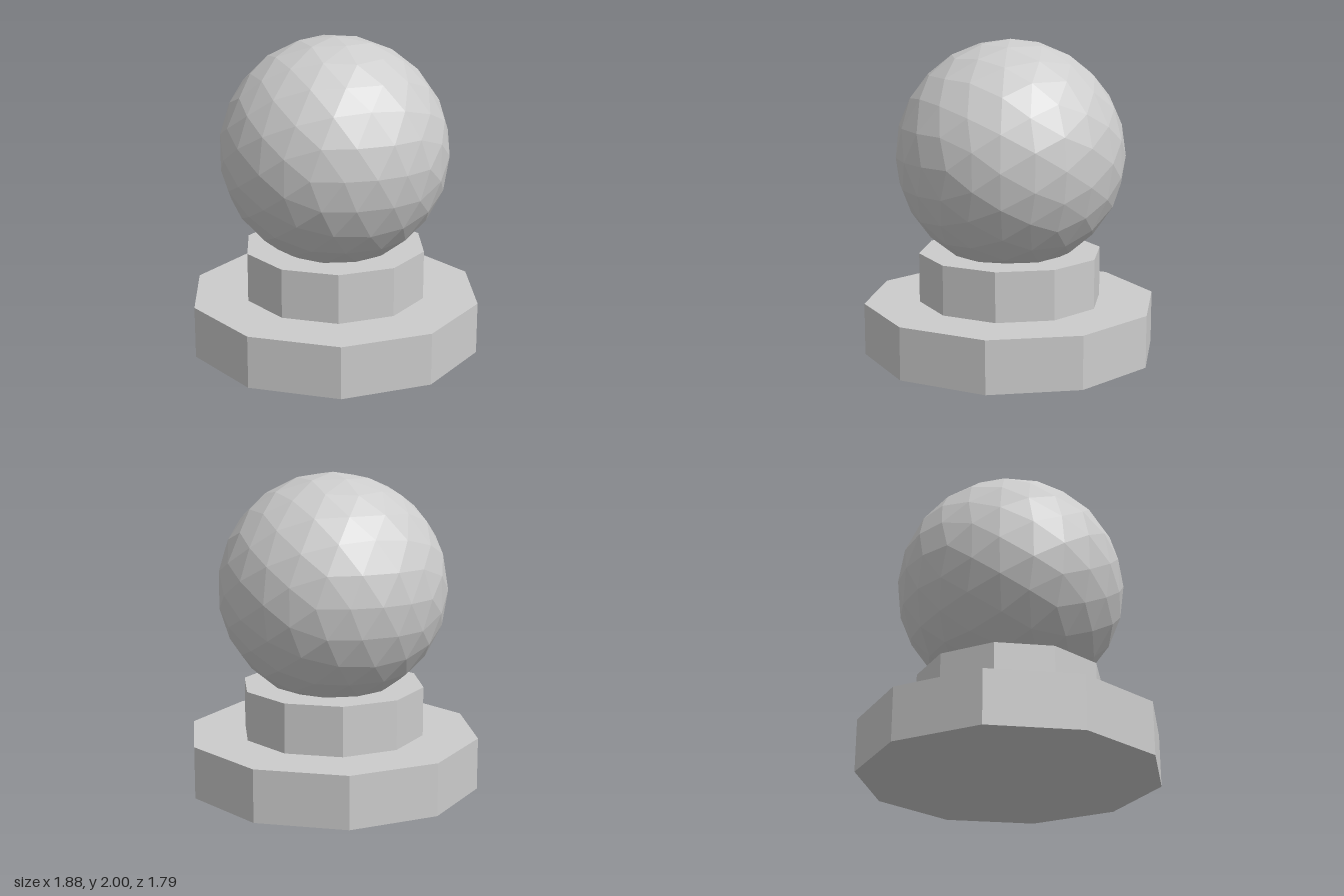
import * as THREE from 'three';

const stone = new THREE.MeshStandardMaterial({ color: 0xcccccc, flatShading: true });
stone.name = 'paleGrey';

// Ten-sided slab with corners on the x axis
function slab(name, radius, bottom, top) {
  const geometry = new THREE.CylinderGeometry(radius, radius, top - bottom, 10, 1, false, Math.PI / 2);
  const mesh = new THREE.Mesh(geometry, stone);
  mesh.name = name;
  mesh.position.y = (bottom + top) / 2;
  return mesh;
}

// Icosphere split twice, pushed out to the sphere after each split
function icosphere(radius) {
  const once = new THREE.IcosahedronGeometry(1, 1).getAttribute('position');
  const corners = Array.from(once.array);
  const indices = Array.from({ length: once.count }, (_, i) => i);
  return new THREE.PolyhedronGeometry(corners, indices, radius, 1);
}

export function createModel() {
  const group = new THREE.Group();
  group.name = 'ballOnPedestal';

  group.add(slab('base', 0.94, 0, 0.333));
  group.add(slab('pedestal', 0.587, 0.333, 0.649));

  // Ball resting partly inside the pedestal
  const ball = new THREE.Mesh(icosphere(0.728), stone);
  ball.name = 'ball';
  ball.position.y = 1.272;
  ball.rotation.y = Math.PI / 2;
  group.add(ball);

  return group;
}
